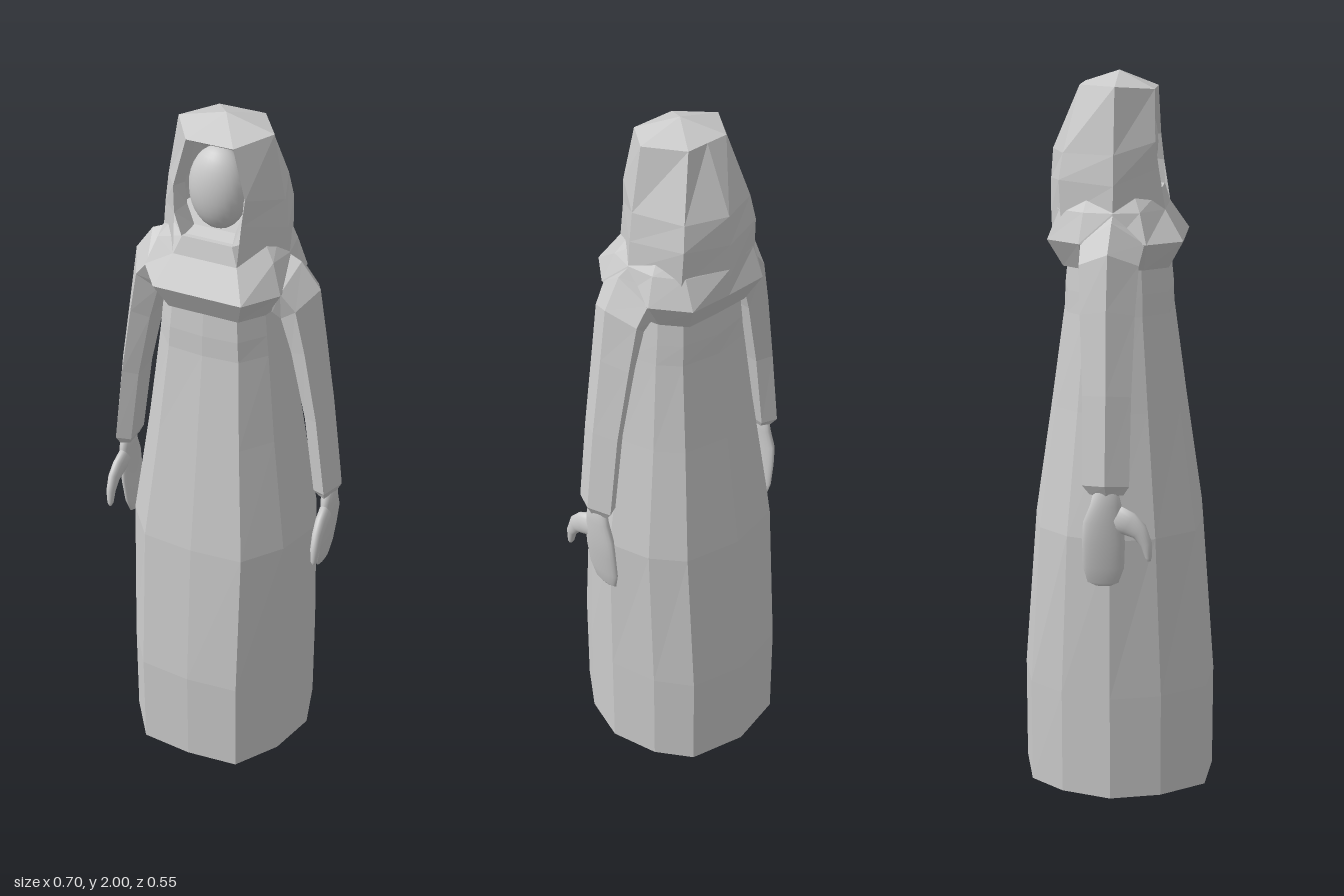
import * as THREE from 'three';

const flat = new THREE.MeshStandardMaterial({ color: 0xcccccc, flatShading: true, side: THREE.DoubleSide });
const smooth = new THREE.MeshStandardMaterial({ color: 0xcccccc });

// Skin a stack of rings (listed bottom to top, points running front, +x, back, -x).
function loft(rings, { closed = true, bottom = true, top = true, apex = null } = {}) {
  const n = rings[0].length, pos = rings.flat(2), idx = [];
  const last = (rings.length - 1) * n;
  for (let i = 0; i < last; i += n) {
    for (let j = 0; j < (closed ? n : n - 1); j++) {
      const k = (j + 1) % n;
      idx.push(i + j, i + k, i + n + k, i + j, i + n + k, i + n + j);
    }
  }
  const cap = (ring, start, up, centre) => {
    const c = centre || [0, 1, 2].map(a => ring.reduce((s, p) => s + p[a], 0) / n);
    const id = pos.length / 3;
    pos.push(...c);
    for (let j = 0; j < n; j++) {
      const a = start + j, b = start + (j + 1) % n;
      idx.push(id, ...(up ? [a, b] : [b, a]));
    }
  };
  if (bottom) cap(rings[0], 0, false);
  if (top) cap(rings[rings.length - 1], last, true, apex);
  const g = new THREE.BufferGeometry();
  g.setAttribute('position', new THREE.Float32BufferAttribute(pos, 3));
  g.setIndex(idx);
  g.computeVertexNormals();
  return g;
}

// Complete a half ring across x = 0; points on the centre line are not doubled.
const mirrorRing = half => [...half, ...half.filter(p => p[0] > 0).reverse().map(([x, y, z]) => [-x, y, z])];
// Mirror rings to the other side, keeping their winding.
const flipRings = rings => rings.map(r => r.map(([x, y, z]) => [-x, y, z]).reverse());

export function createModel() {
  const model = new THREE.Group();
  const add = (name, geometry, material = flat, parent = model) => {
    const mesh = new THREE.Mesh(geometry, material);
    mesh.name = name;
    parent.add(mesh);
    return mesh;
  };

  // Long robe: twelve-sided, [y, half width, half depth]
  const outline = [[0, 1], [0.55, 0.95], [0.86, 0.51], [1, 0], [0.86, -0.51], [0.6, -0.86], [0, -1]];
  const robe = [
    [0, 0.272, 0.273], [0.3, 0.272, 0.273], [0.76, 0.27, 0.238], [1.1, 0.218, 0.188],
    [1.36, 0.185, 0.152], [1.42, 0.178, 0.15], [1.49, 0.17, 0.143],
  ].map(([y, w, d]) => mirrorRing(outline.map(([x, z]) => [x * w, y, z * d])));
  add('robe', loft(robe));

  // Shoulder cape: flares out over the chest, then closes in at the collar
  const cape = [
    [1.485, [0, 0.143], [0.1, 0.143], [0.15, 0.08], [0.17, 0], [0.15, -0.08], [0.1, -0.143], [0, -0.145]],
    [1.56, [0, 0.183], [0.125, 0.183], [0.195, 0.09], [0.2, 0], [0.195, -0.09], [0.125, -0.183], [0, -0.186]],
    [1.64, [0, 0.132], [0.09, 0.132], [0.165, 0.07], [0.182, 0], [0.17, -0.08], [0.12, -0.15], [0, -0.188]],
    [1.69, [0, 0.118], [0.07, 0.118], [0.13, 0.05], [0.15, 0], [0.14, -0.07], [0.1, -0.13], [0, -0.16]],
  ].map(([y, ...pts]) => mirrorRing(pts.map(([x, z]) => [x, y, z])));
  add('cape', loft(cape));

  // Hood: open at the front, shallow peaked crown
  const hood = [
    [[0.09, 1.64, 0.132], [0.182, 1.63, 0], [0.13, 1.62, -0.145], [0, 1.62, -0.189]],
    [[0.094, 1.75, 0.114], [0.175, 1.71, 0], [0.127, 1.72, -0.15], [0, 1.71, -0.187]],
    [[0.1, 1.82, 0.105], [0.165, 1.79, 0], [0.115, 1.79, -0.14], [0, 1.79, -0.181]],
    [[0.065, 1.955, 0.1], [0.133, 1.965, 0], [0.065, 1.965, -0.1], [0, 1.965, -0.1]],
  ].map(mirrorRing);
  add('hood', loft(hood, { closed: false, bottom: false, apex: [0, 2, 0] }));

  // Rim folding inward around the face opening
  const rimOuter = mirrorRing([[0.07, 1.685, 0.119], [0.094, 1.75, 0.114], [0.1, 1.82, 0.105], [0.065, 1.955, 0.1]]);
  const rimInner = rimOuter.map(([x, y]) => [x * 0.83, 1.812 + (y - 1.812) * 0.87, 0.07]);
  add('hoodRim', loft([rimOuter, rimInner], { bottom: false, top: false }));

  // Face
  const face = add('face', new THREE.SphereGeometry(1, 24, 16), smooth);
  face.scale.set(0.08, 0.115, 0.06);
  face.position.set(0, 1.81, 0.045);

  // Sleeve sections: [outer x, outer y, inner x, inner y, front z, back z]
  const sleeve = [
    [0.335, 0.91, 0.29, 0.905, 0.042, -0.048], [0.35, 0.94, 0.28, 0.925, 0.058, -0.068],
    [0.322, 1.18, 0.248, 1.16, 0.06, -0.07], [0.29, 1.4, 0.205, 1.36, 0.066, -0.08],
    [0.268, 1.545, 0.175, 1.46, 0.074, -0.085], [0.215, 1.62, 0.155, 1.475, 0.085, -0.085],
    [0.15, 1.65, 0.12, 1.48, 0.085, -0.085],
  ].map(([xo, yo, xi, yi, f, b]) => [[0.05, f * 0.65], [0.6, f], [1, (f + b) / 2], [0.6, b], [0.05, b * 0.65]]
    .map(([t, z]) => [xi + (xo - xi) * t, yi + (yo - yi) * t, z]));

  // Oval ring whose front direction tilts upward by the given angle
  const oval = (x, y, z, rx, rz, tilt = 0) => Array.from({ length: 20 }, (_, i) => {
    const a = i / 20 * Math.PI * 2, f = Math.cos(a) * rz;
    return [x + Math.sin(a) * rx, y + f * Math.sin(tilt), z + f * Math.cos(tilt)];
  });

  // Mitten-like palm and a hooked thumb, tip first
  const palm = [
    [0.298, 0.645, -0.015, 0.004, 0.02], [0.299, 0.655, -0.015, 0.009, 0.042],
    [0.304, 0.7, -0.013, 0.014, 0.056], [0.311, 0.77, -0.012, 0.017, 0.058],
    [0.315, 0.83, -0.012, 0.02, 0.055], [0.315, 0.88, -0.005, 0.02, 0.042], [0.315, 0.93, -0.005, 0.02, 0.03],
  ].map(r => oval(...r));
  const thumb = [
    [0.32, 0.727, 0.112, 0.004, 0.004, 0], [0.32, 0.737, 0.11, 0.009, 0.009, 0.1],
    [0.32, 0.775, 0.104, 0.013, 0.016, 0.3], [0.319, 0.81, 0.085, 0.015, 0.025, 0.8],
    [0.317, 0.83, 0.055, 0.017, 0.034, 1.05], [0.315, 0.845, 0.02, 0.017, 0.036, 1.1],
  ].map(r => oval(...r));

  for (const side of ['left', 'right']) {
    const place = rings => (side === 'left' ? rings : flipRings(rings));
    const arm = new THREE.Group();
    arm.name = side + 'Arm';
    model.add(arm);
    add(side + 'Sleeve', loft(place(sleeve)), flat, arm);
    add(side + 'Hand', loft(place(palm)), smooth, arm);
    add(side + 'Thumb', loft(place(thumb)), smooth, arm);
  }
  return model;
}
